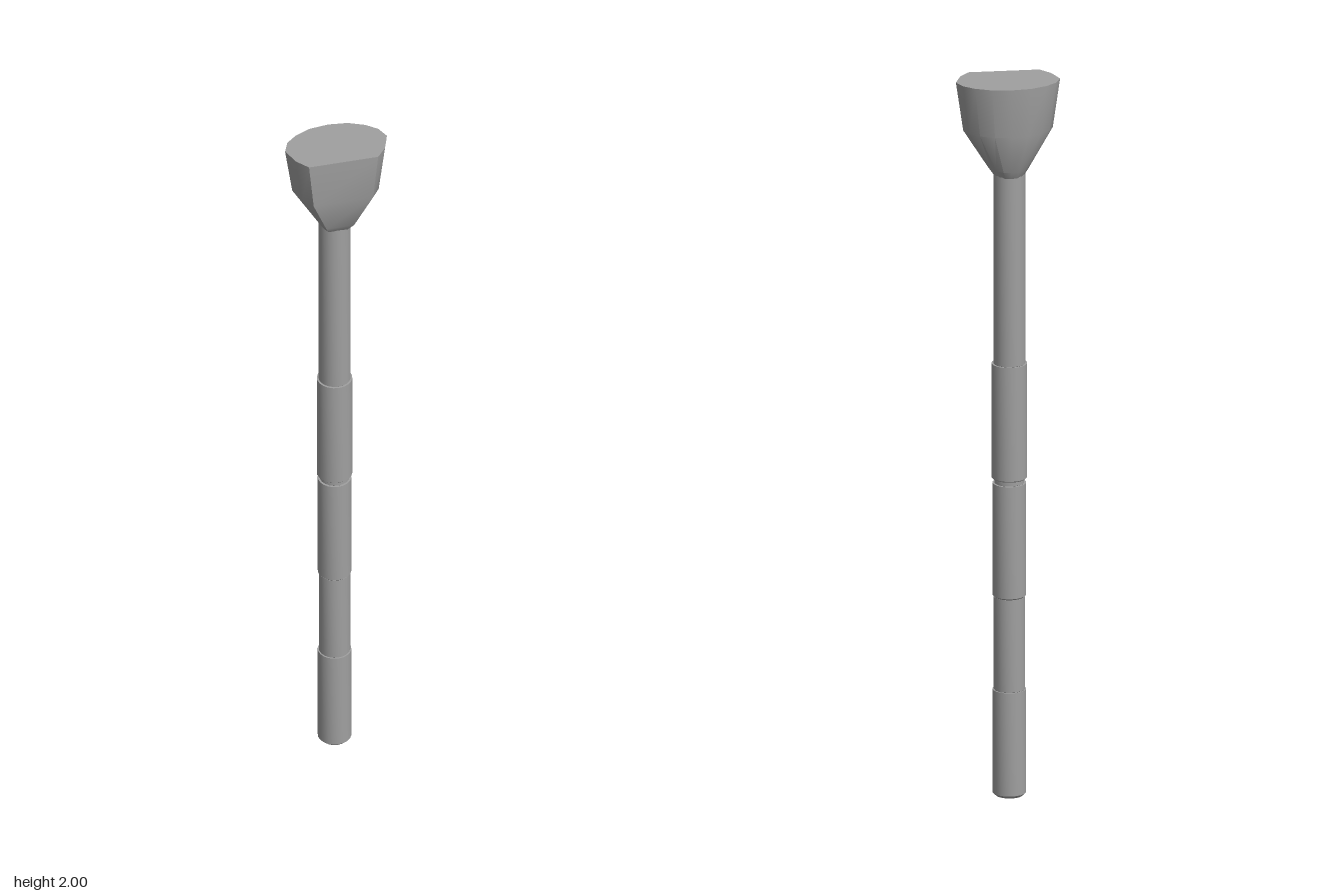
import * as THREE from 'three';
import { toCreasedNormals } from 'three/addons/utils/BufferGeometryUtils.js';

const grey = new THREE.MeshStandardMaterial({ color: 0xa0a0a0 });
grey.name = 'plain grey';

// Right half of the head outline (x, z), from the flat front round to the back
const half = [[0.095, 0.083], [0.122, 0.05], [0.14, 0], [0.125, -0.035], [0.096, -0.06], [0.052, -0.08], [0, -0.086]];
const outline = [...half, ...half.slice(0, -1).reverse().map(([x, z]) => [-x, z])];

// Head levels: height, x scale, front z scale, back z scale, centre x, centre z
const levels = [
  [1.735, 0.28, 0.47, 0.5, -0.003, -0.002],
  [1.76, 0.4, 0.66, 0.7, -0.002, 0],
  [1.865, 0.86, 0.98, 0.95, 0, 0],
  [2, 1, 1, 1, 0, 0],
];

function headGeometry() {
  const pos = [], index = [], n = outline.length;
  for (const [y, sx, front, back, cx, cz] of levels) {
    for (const [x, z] of outline) pos.push(cx + x * sx, y, cz + z * (z > 0 ? front : back));
  }
  for (let r = 0; r < levels.length - 1; r++) {
    for (let i = 0; i < n; i++) {
      const a = r * n + i, b = r * n + (i + 1) % n;
      index.push(a, b, b + n, a, b + n, a + n);
    }
  }
  // End caps
  const top = (levels.length - 1) * n;
  for (let i = 1; i < n - 1; i++) {
    index.push(top, top + i, top + i + 1, 0, i + 1, i);
  }
  const g = new THREE.BufferGeometry();
  g.setAttribute('position', new THREE.Float32BufferAttribute(pos, 3));
  g.setIndex(index);
  return toCreasedNormals(g, 0.55);
}

// Closed round section with a small bevel at its lower end
function poleSection(name, y0, y1, r, bevel) {
  const profile = [[0, y0], [r - bevel, y0], [r, y0 + bevel], [r, y1], [0, y1]].map(p => new THREE.Vector2(...p));
  const g = toCreasedNormals(new THREE.LatheGeometry(profile, 20), 0.5);
  const mesh = new THREE.Mesh(g, grey);
  mesh.name = name;
  mesh.position.set(-0.003, 0, -0.004);
  return mesh;
}

export function createModel() {
  const model = new THREE.Group();
  model.name = 'staff';

  const head = new THREE.Mesh(headGeometry(), grey);
  head.name = 'head';
  model.add(head);

  // Shaft sleeves, bottom to top
  model.add(
    poleSection('endGrip', 0, 0.297, 0.045, 0.008),
    poleSection('lowerShaft', 0.297, 0.557, 0.042, 0.001),
    poleSection('middleShaft', 0.557, 0.875, 0.045, 0.004),
    poleSection('joint', 0.875, 0.888, 0.04, 0.001),
    poleSection('upperSleeve', 0.888, 1.21, 0.0475, 0.003),
    poleSection('upperShaft', 1.21, 1.745, 0.043, 0.001),
  );
  return model;
}
